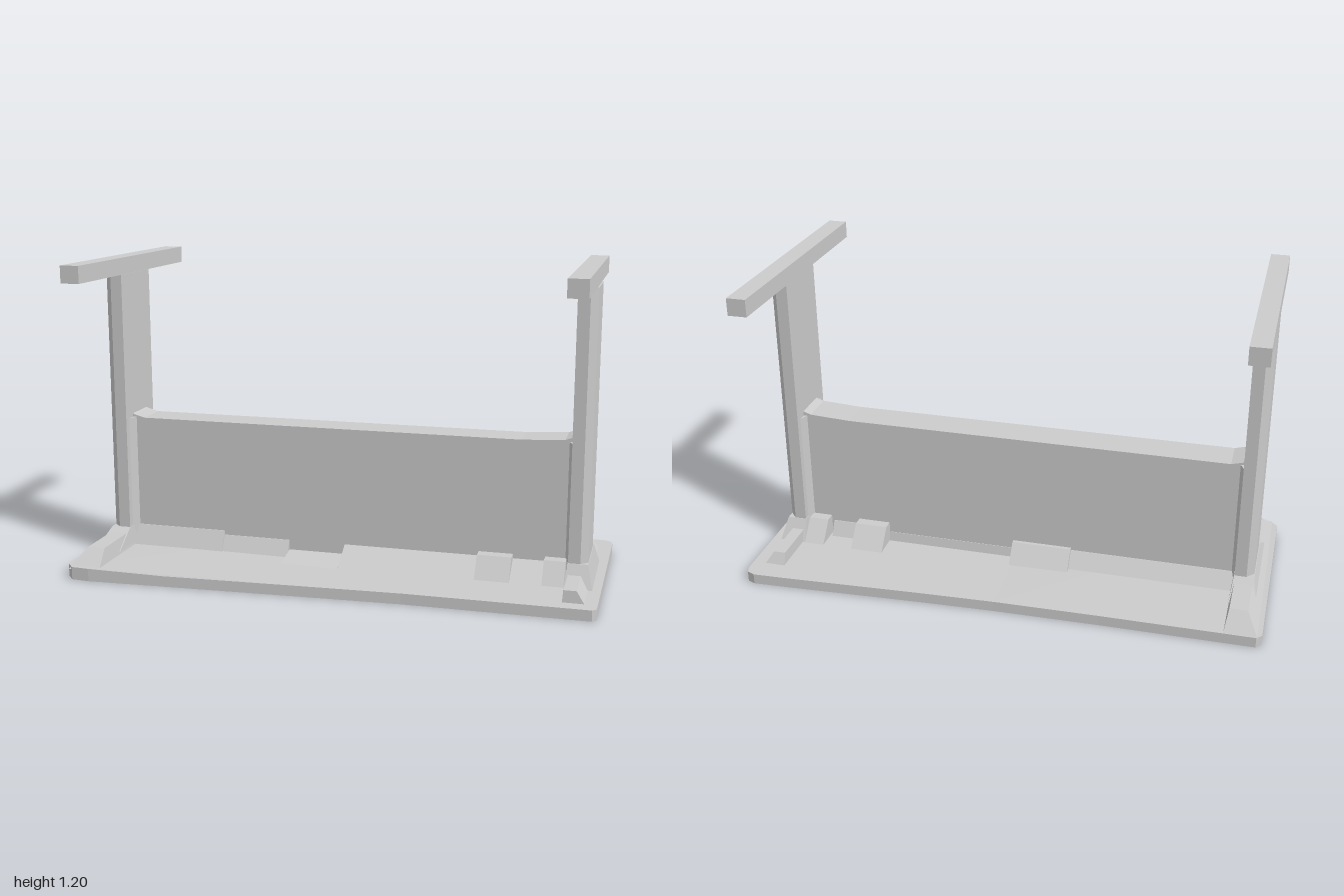
import * as THREE from 'three';

const material = new THREE.MeshStandardMaterial({ color: 0xcccccc, flatShading: true });

function part(name, geometry) {
  const mesh = new THREE.Mesh(geometry, material);
  mesh.name = name;
  return mesh;
}

// Block between a bottom and a top rectangle, each [x0, x1, z0, z1]
function block(name, y0, y1, bottom, top = bottom) {
  const geometry = new THREE.BoxGeometry(1, 1, 1);
  const p = geometry.attributes.position;
  for (let i = 0; i < p.count; i++) {
    const r = p.getY(i) > 0 ? top : bottom;
    p.setXYZ(i, p.getX(i) < 0 ? r[0] : r[1], p.getY(i) > 0 ? y1 : y0, p.getZ(i) < 0 ? r[2] : r[3]);
  }
  geometry.computeVertexNormals();
  return part(name, geometry);
}

function extrude(points, depth) {
  const shape = new THREE.Shape(points.map(([x, y]) => new THREE.Vector2(x, y)));
  return new THREE.ExtrudeGeometry(shape, { depth, bevelEnabled: false });
}

// Upright prism from an outline in x and z
function upright(name, outline, y0, y1) {
  return part(name, extrude(outline, y1 - y0).rotateX(Math.PI / 2).translate(0, y1, 0));
}

export function createModel() {
  const model = new THREE.Group();
  model.name = 'tableFrame';

  // Base plate, slightly skewed with rounded corners
  const plate = upright('basePlate', [
    [-1, -0.38], [-0.98, -0.4], [-0.4, -0.402], [0, -0.408], [0.3, -0.42], [0.83, -0.448],
    [0.96, -0.453], [0.99, -0.44], [1, -0.41], [0.995, 0.365], [0.98, 0.38], [0.3, 0.385],
    [0, 0.4], [-0.6, 0.433], [-0.9, 0.45], [-0.97, 0.445], [-1, 0.41],
  ], 0.002, 0.043);
  const p = plate.geometry.attributes.position;
  for (let i = 0; i < p.count; i++) {
    if (p.getX(i) < -0.85 && p.getZ(i) > 0.3 && p.getY(i) > 0.03) p.setY(i, 0.051);
  }
  plate.geometry.computeVertexNormals();
  model.add(plate);

  // Long panel between the posts, rising a little at both ends
  model.add(part('panel', extrude([
    [-0.885, 0.03], [0.885, 0.03], [0.885, 0.588], [0.84, 0.572], [0.68, 0.563],
    [-0.82, 0.563], [-0.865, 0.575], [-0.885, 0.59],
  ], 0.135).translate(0, 0, -0.07)));

  // Posts with chamfered outer edges, and bars across their tops
  for (const [side, label] of [[-1, 'right'], [1, 'left']]) {
    const outline = [
      [0.87, -0.13], [0.915, -0.13], [0.942, -0.1], [0.942, 0.105], [0.915, 0.13], [0.87, 0.13],
    ].map(([x, z]) => [x * side, z]);
    model.add(upright(label + 'Post', outline, 0.03, 1.135));
    const x = side < 0 ? -0.908 : 0.9;
    model.add(block(label + 'TopBar', 1.135, 1.2, [x - 0.036, x + 0.036, -0.483, 0.478]));

    // Fillets joining the panel to the post
    const end = [[0.875, -0.115], [0.875, 0.115], [0.855, 0.065], [0.855, -0.07]];
    model.add(upright(label + 'PanelFillet', end.map(([a, z]) => [a * side, z]), 0.04, 0.565));
  }

  // Sloping foot under the right post
  model.add(
    block('rightFoot', 0.04, 0.108, [-0.985, -0.86, -0.4, 0.44], [-0.94, -0.872, -0.33, 0.36]),
    block('rightCollar', 0.06, 0.125, [-0.965, -0.86, -0.22, 0.25], [-0.945, -0.868, -0.135, 0.135]),
  );

  // Slim foot and flared collar under the left post
  model.add(
    block('leftFoot', 0.04, 0.087, [0.87, 0.95, -0.365, 0.325], [0.873, 0.92, -0.34, 0.32]),
    block('leftCollar', 0.04, 0.125, [0.86, 0.965, -0.18, 0.18], [0.868, 0.944, -0.132, 0.132]),
  );

  // Sloped skirts and blocks along the foot of the panel:
  // [name, x0, x1, foot z, top z, top y]
  const skirts = [
    ['frontSkirt', -0.87, -0.49, 0.11, 0.068, 0.122],
    ['frontSkirt', -0.49, -0.22, 0.105, 0.068, 0.105],
    ['frontSlab', -0.22, 0.005, 0.2, 0.068, 0.066],
    ['frontSkirt', 0.005, 0.78, 0.168, 0.068, 0.105],
    ['frontBlock', 0.53, 0.66, 0.172, 0.11, 0.122],
    ['frontBlock', 0.78, 0.86, 0.172, 0.11, 0.122],
    ['backSkirt', -0.87, -0.22, -0.122, -0.073, 0.105],
    ['backBlock', -0.225, 0.01, -0.145, -0.085, 0.115],
    ['backSkirt', 0.01, 0.53, -0.08, -0.072, 0.08],
    ['backBlock', 0.53, 0.66, -0.182, -0.11, 0.122],
    ['backSkirt', 0.66, 0.77, -0.105, -0.073, 0.1],
    ['backBlock', 0.78, 0.86, -0.182, -0.11, 0.122],
  ];
  for (const [name, x0, x1, foot, top, y] of skirts) {
    const rect = (z) => [x0, x1, Math.min(z, 0), Math.max(z, 0)];
    model.add(block(name, 0.04, y, rect(foot), rect(top)));
  }

  return model;
}
